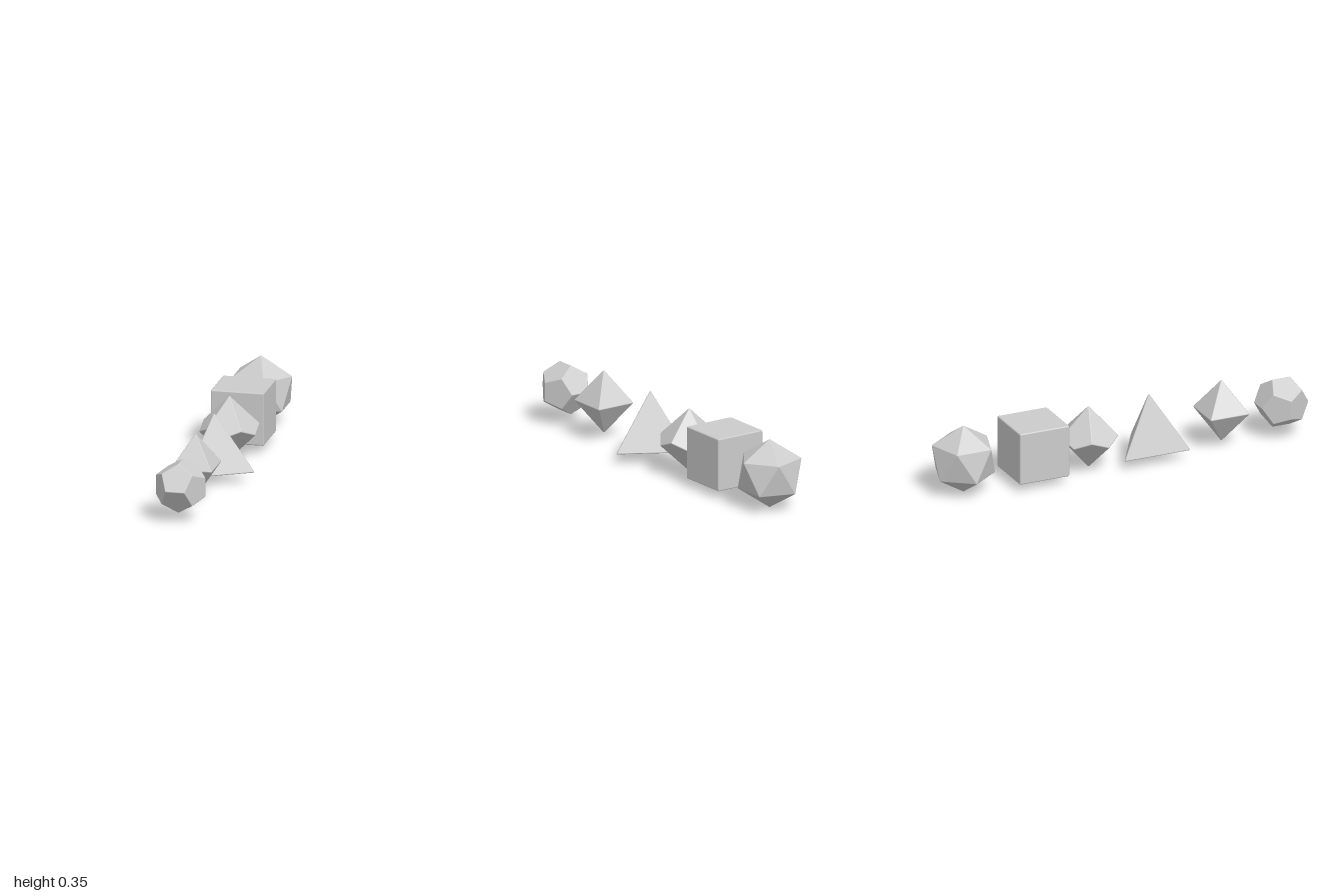
import * as THREE from 'three';
import { ConvexGeometry } from 'three/addons/geometries/ConvexGeometry.js';

const PHI = (1 + Math.sqrt(5)) / 2;
const V = (x, y, z) => new THREE.Vector3(x, y, z);

// n points evenly round the y axis, starting at angle a0 from +x
function ring(n, radius, y, a0) {
  return Array.from({ length: n }, (_, i) => {
    const a = a0 + (i * 2 * Math.PI) / n;
    return V(radius * Math.cos(a), y, radius * Math.sin(a));
  });
}

// Solid whose faces all lie at one distance from the origin, with edges rounded to radius r
function roundedSolid(points, r) {
  // face normals of the sharp solid
  const pos = new ConvexGeometry(points).attributes.position;
  const normals = [];
  let inner = 0;
  for (let i = 0; i < pos.count; i += 3) {
    const [a, b, c] = [0, 1, 2].map((k) => V().fromBufferAttribute(pos, i + k));
    const n = b.sub(a).cross(c.sub(a)).normalize();
    inner = n.dot(a);
    if (!normals.some((m) => m.dot(n) > 0.999)) normals.push(n);
  }
  // shrink the solid, then swell each corner towards its faces and the edges between them
  const cores = points.map((p) => p.clone().multiplyScalar(1 - r / inner));
  const swollen = [];
  points.forEach((p, i) => {
    const near = normals.filter((n) => Math.abs(n.dot(p) - inner) < inner * 0.01);
    near.forEach((n, j) => {
      for (const m of near.slice(j)) {
        swollen.push(n.clone().add(m).normalize().multiplyScalar(r).add(cores[i]));
      }
    });
  });
  const geometry = new ConvexGeometry(swollen);
  // smooth normals: away from the nearest corner core
  const gp = geometry.attributes.position;
  const gn = geometry.attributes.normal;
  for (let i = 0; i < gp.count; i++) {
    const p = V().fromBufferAttribute(gp, i);
    const core = cores.reduce((a, b) => (p.distanceToSquared(b) < p.distanceToSquared(a) ? b : a));
    p.sub(core).normalize();
    gn.setXYZ(i, p.x, p.y, p.z);
  }
  return geometry;
}

function tetrahedron(R) {
  const d = R / Math.sqrt(8);
  return [V(0, 3 * d, 0), ...ring(3, R, -d, 0)];
}

function cube(h) {
  const pts = [];
  for (const x of [-h, h]) for (const y of [-h, h]) for (const z of [-h, h]) pts.push(V(x, y, z));
  return pts;
}

function squareBipyramid(half, H) {
  return [V(0, H, 0), V(0, -H, 0), ...ring(4, half * Math.SQRT2, 0, Math.PI / 4)];
}

// ten kite faces: a zigzag belt between two tips
function trapezohedron(R, H) {
  const c = Math.cos(Math.PI / 5);
  const h = (H * (1 - c)) / (1 + c);
  return [V(0, H, 0), V(0, -H, 0), ...ring(5, R, h, -Math.PI / 2), ...ring(5, R, -h, Math.PI / 2)];
}

function dodecahedron(a) {
  const pts = cube(a / PHI);
  const b = a / PHI / PHI;
  for (const s of [-1, 1]) {
    for (const t of [-1, 1]) pts.push(V(s * b, 0, t * a), V(0, s * a, t * b), V(s * a, t * b, 0));
  }
  return pts;
}

function icosahedron(R) {
  const y = R / Math.sqrt(5);
  return [V(0, R, 0), V(0, -R, 0), ...ring(5, 2 * y, y, 0), ...ring(5, 2 * y, -y, Math.PI)];
}

export function createModel() {
  const group = new THREE.Group();
  group.name = 'polyhedralDice';
  const material = new THREE.MeshStandardMaterial({ color: 0xcccccc });

  // name, corners, edge radius, centre height, centre z (front to back)
  const dice = [
    ['twelveSidedDie', dodecahedron(0.126), 0.005, 0.175, 0.875],
    ['eightSidedDie', squareBipyramid(0.106, 0.164), 0.005, 0.187, 0.55],
    ['fourSidedDie', tetrahedron(0.213), 0.005, 0.125, 0.157],
    ['tenSidedDie', trapezohedron(0.151, 0.163), 0.005, 0.175, -0.171],
    ['sixSidedDie', cube(0.135), 0.007, 0.175, -0.47],
    ['twentySidedDie', icosahedron(0.176), 0.005, 0.175, -0.85],
  ];
  for (const [name, points, radius, y, z] of dice) {
    const die = new THREE.Mesh(roundedSolid(points, radius), material);
    die.name = name;
    die.position.set(-0.025, y, z);
    group.add(die);
  }
  return group;
}
